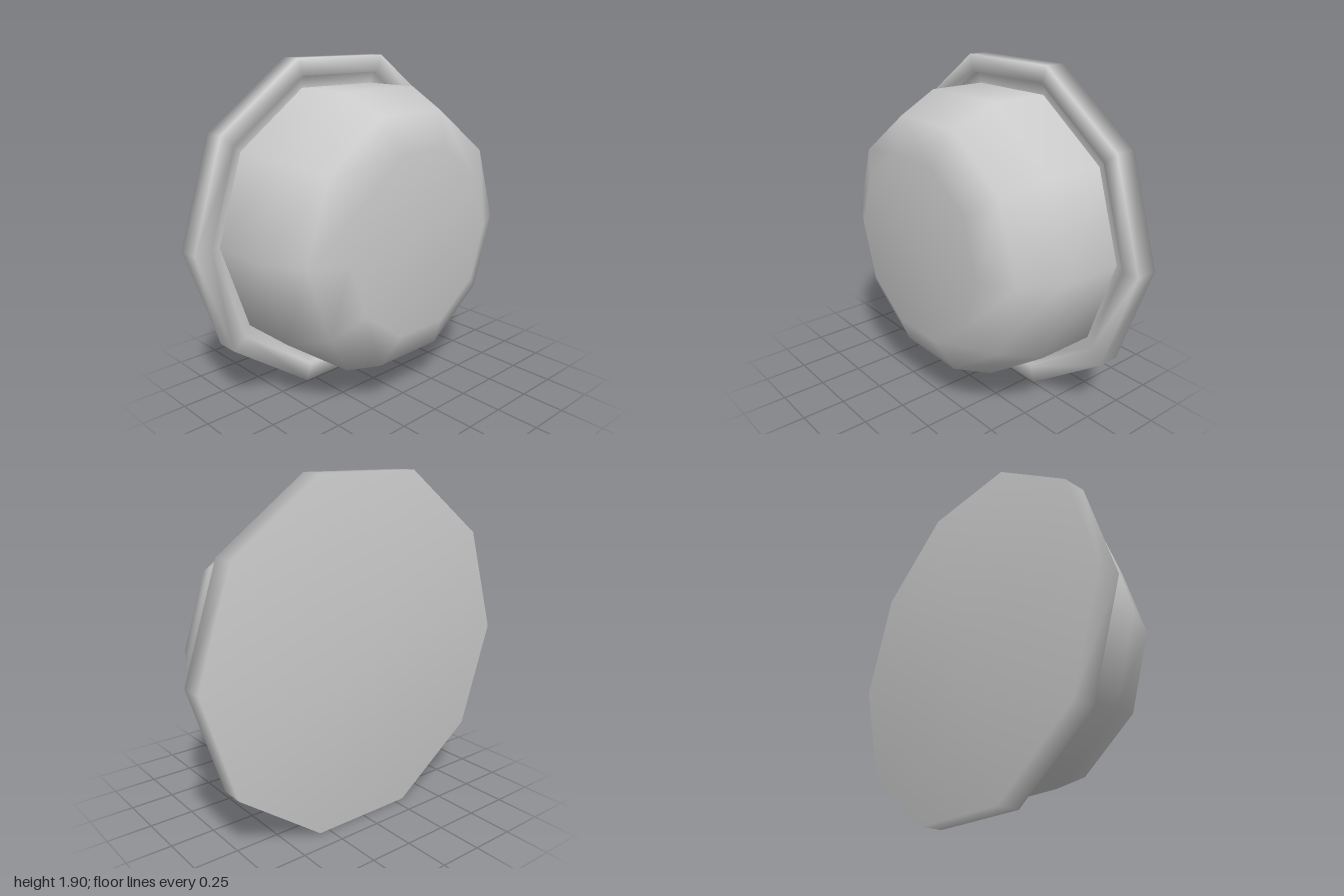
import * as THREE from 'three';

const SIDES = 10;
const material = new THREE.MeshStandardMaterial({ color: 0xcccccc });

// Ten-sided turned part; profile is [radius, position along the axis].
function turned(name, profile) {
  const points = profile.map(([r, a]) => new THREE.Vector2(r, a));
  const mesh = new THREE.Mesh(new THREE.LatheGeometry(points, SIDES), material);
  mesh.name = name;
  return mesh;
}

export function createModel() {
  const group = new THREE.Group();
  group.name = 'roundButton';

  // Flat-backed rim with a shallow groove that runs up to the dome
  group.add(turned('rim', [
    [0, -0.385], [1, -0.385], [1, -0.255], [0.9, -0.255], [0.9, -0.295], [0.83, -0.295],
  ]));

  // Bevelled dome rising out of the groove
  group.add(turned('dome', [
    [0.83, -0.295], [0.83, 0.05], [0.715, 0.29], [0.52, 0.385], [0, 0.385],
  ]));

  // Turn the axis sideways so the dome faces +x, and stand it on a flat side
  group.rotation.z = -Math.PI / 2;
  group.position.y = Math.cos(Math.PI / SIDES);

  const model = new THREE.Group();
  model.add(group);
  return model;
}
